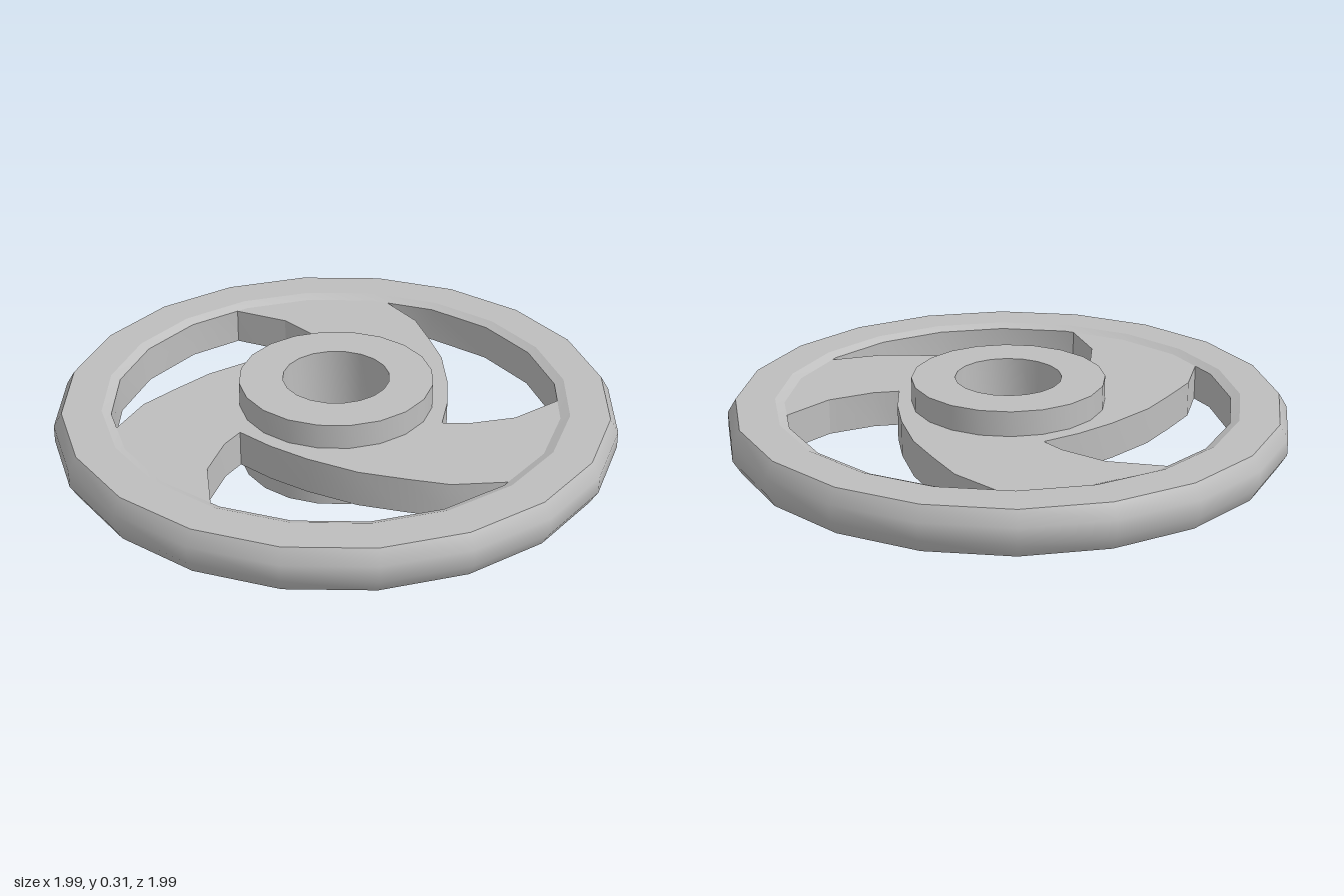
import * as THREE from 'three';
import { toCreasedNormals } from 'three/addons/utils/BufferGeometryUtils.js';

const SIDES = 20;
const PHASE = 0.08; // small turn of the polygonal rings

function ring(profile) {
  const points = profile.map(([r, y]) => new THREE.Vector2(r, y));
  return new THREE.LatheGeometry(points, SIDES, PHASE, Math.PI * 2);
}

// One curved window between two spokes, as (x, z) points
const windowEdge = [
  [-0.03, -0.815], [0, -0.79], [0.14, -0.67], [0.22, -0.54], [0.3, -0.4], [0.36, -0.22], [0.39, -0.07],
  [0.4, 0.07], [0.49, 0.05], [0.64, -0.03], [0.76, -0.18], [0.785, -0.21],
];

function windowPath(turn) {
  const points = windowEdge.map(([x, z]) => new THREE.Vector2(x, z));
  // Close the window along an arc hidden inside the rim
  const start = Math.atan2(-0.21, 0.785);
  const end = Math.atan2(-0.815, -0.03);
  for (let i = 1; i < 8; i++) {
    const a = start + (end - start) * i / 8;
    points.push(new THREE.Vector2(0.815 * Math.cos(a), 0.815 * Math.sin(a)));
  }
  const centre = new THREE.Vector2();
  return new THREE.Path(points.map((p) => p.rotateAround(centre, turn)));
}

export function createModel() {
  const group = new THREE.Group();
  const grey = new THREE.MeshStandardMaterial({ color: 0xbebebe });
  grey.name = 'grey';

  const add = (name, geometry, parent = group) => {
    const mesh = new THREE.Mesh(geometry, grey);
    mesh.name = name;
    parent.add(mesh);
  };

  // Rim: smooth bevelled outside, flat faces with a shallow inner chamfer
  const rim = new THREE.Group();
  rim.name = 'rim';
  group.add(rim);
  add('rimOutside', ring([[0.97, 0.08], [1, 0.13], [1, 0.19], [0.97, 0.24]]), rim);
  add('rimInside', toCreasedNormals(ring([
    [0.97, 0.24], [0.83, 0.24], [0.797, 0.225], [0.797, 0.095], [0.83, 0.08], [0.97, 0.08],
  ]), 0.35), rim);

  // Hub with a round bore
  add('hub', toCreasedNormals(ring([
    [0.345, 0], [0.345, 0.315], [0.19, 0.315], [0.19, 0], [0.345, 0],
  ]), 0.6));

  // Three swept spokes cut from one plate
  const plate = new THREE.Shape().absarc(0, 0, 0.87, 0, Math.PI * 2);
  plate.holes.push(new THREE.Path().absarc(0, 0, 0.27, 0, Math.PI * 2, true));
  for (let i = 0; i < 3; i++) plate.holes.push(windowPath(i * Math.PI * 2 / 3));
  const spokes = new THREE.ExtrudeGeometry(plate, { depth: 0.13, bevelEnabled: false, curveSegments: 20 });
  spokes.rotateX(Math.PI / 2).translate(0, 0.225, 0);
  add('spokes', toCreasedNormals(spokes, 0.35));

  return group;
}
